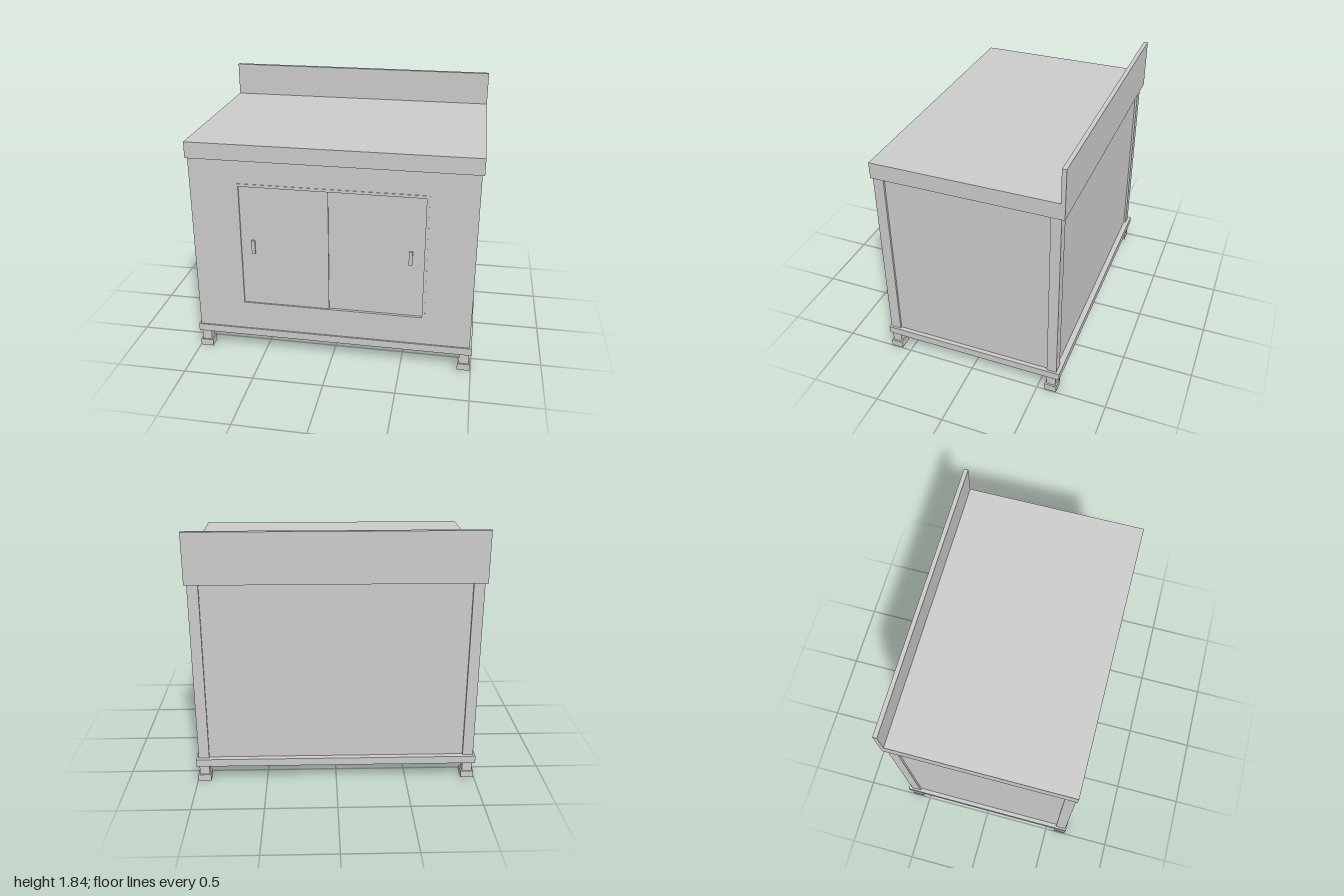
import * as THREE from 'three';

const material = new THREE.MeshStandardMaterial({ color: 0xcccccc, flatShading: true });

export function createModel() {
  const group = new THREE.Group();

  function add(name, geometry) {
    const mesh = new THREE.Mesh(geometry, material);
    mesh.name = name;
    group.add(mesh);
    return mesh;
  }

  // Box given by its limits on each axis
  function box(name, x0, x1, y0, y1, z0, z1) {
    const mesh = add(name, new THREE.BoxGeometry(x1 - x0, y1 - y0, z1 - z0));
    mesh.position.set((x0 + x1) / 2, (y0 + y1) / 2, (z0 + z1) / 2);
    return mesh;
  }

  // Upright plate with a rectangular opening, back face at z0
  function openPlate(name, outer, inner, z0, depth) {
    const [x, y0, y1] = outer;
    const [hx, h0, h1] = inner;
    const shape = new THREE.Shape([
      new THREE.Vector2(-x, y0), new THREE.Vector2(x, y0),
      new THREE.Vector2(x, y1), new THREE.Vector2(-x, y1),
    ]);
    shape.holes.push(new THREE.Path([
      new THREE.Vector2(-hx, h0), new THREE.Vector2(-hx, h1),
      new THREE.Vector2(hx, h1), new THREE.Vector2(hx, h0),
    ]));
    add(name, new THREE.ExtrudeGeometry(shape, { depth, bevelEnabled: false })).position.z = z0;
  }

  // Worktop, splashback and bottom shelf
  box('worktop', -1, 1, 1.485, 1.6, -0.66, 0.66);
  box('splashback', -1, 1, 1.6, 1.84, -0.66, -0.63);
  box('basePlate', -1, 1, 0.13, 0.185, -0.66, 0.66);

  // Corner posts, legs and feet
  for (const side of [-1, 1]) {
    for (const [end, z0, z1] of [['front', 0.575, 0.635], ['back', -0.635, -0.565]]) {
      const post = box(end + 'Post', 0.91, 0.985, 0.185, 1.485, z0, z1);
      post.position.x *= side;
    }
    for (const [end, z] of [['front', 0.612], ['back', -0.597]]) {
      const leg = box(end + 'Leg', 0.914, 0.984, 0.05, 0.13, z - 0.033, z + 0.033);
      const foot = box(end + 'Foot', 0.904, 0.996, 0, 0.05, z - 0.043, z + 0.043);
      leg.position.x *= side;
      foot.position.x *= side;
    }
    // Side panel set back between the posts
    const panel = box('sidePanel', 0.95, 0.97, 0.185, 1.485, -0.6, 0.6);
    panel.position.x *= side;
  }
  box('backPanel', -0.93, 0.93, 0.185, 1.485, -0.62, -0.6);

  // Front panel with its door opening and thin raised frame
  openPlate('frontPanel', [0.985, 0.185, 1.485], [0.64, 0.4, 1.3], 0.62, 0.03);
  openPlate('doorFrame', [0.66, 0.37, 1.32], [0.64, 0.4, 1.3], 0.65, 0.004);

  // Overlapping sliding doors with pull handles
  box('frontSlidingDoor', -0.64, -0.02, 0.4, 1.3, 0.634, 0.644);
  box('rearSlidingDoor', -0.06, 0.64, 0.4, 1.3, 0.622, 0.634);
  box('frontDoorHandle', -0.565, -0.54, 0.8, 0.9, 0.644, 0.656);
  box('rearDoorHandle', 0.535, 0.56, 0.8, 0.9, 0.634, 0.646);

  return group;
}
